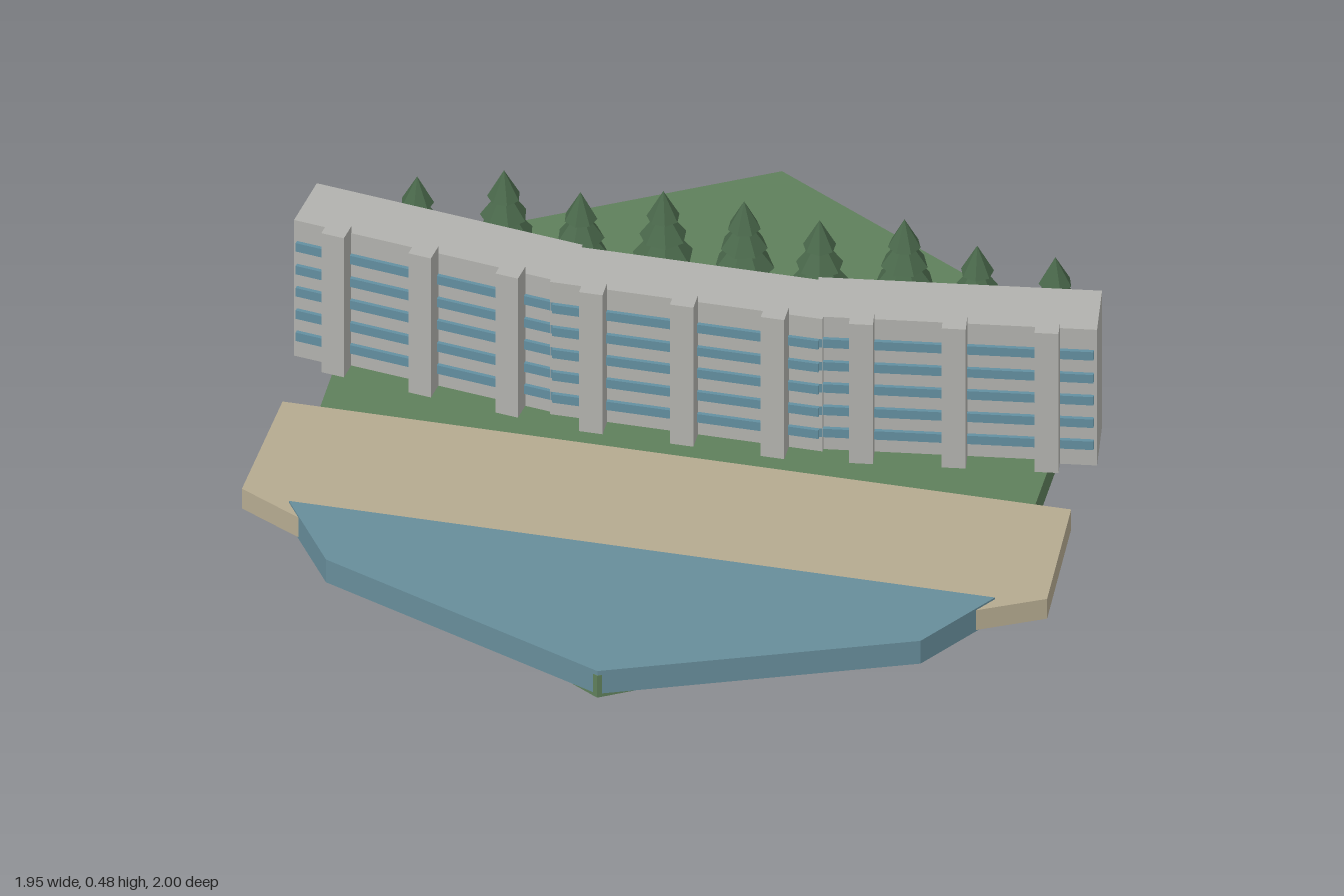
import * as THREE from 'three';

const material = (name, color) => {
  const m = new THREE.MeshStandardMaterial({ color, flatShading: true });
  m.name = name;
  return m;
};

export function createModel() {
  const mats = {
    grass: material('grass', 0x5f7f5b),
    sand: material('sand', 0xb5aa90),
    water: material('water', 0x678d9a),
    concrete: material('concrete', 0xb2b2ae),
    glass: material('window glass', 0x638fa0),
    foliage: material('foliage', 0x4a684b),
    bark: material('bark', 0x5a4f40),
  };
  const model = new THREE.Group();
  model.name = 'seasideHotel';

  function add(parent, name, geometry, mat, x = 0, y = 0, z = 0) {
    const mesh = new THREE.Mesh(geometry, mat);
    mesh.name = name;
    mesh.position.set(x, y, z);
    parent.add(mesh);
    return mesh;
  }

  // Flat slab from the right half of an outline given as [x, z], mirrored in x
  function slab(name, half, y0, y1, mat) {
    const mirrored = half.filter(p => p[0] > 0).map(([x, z]) => [-x, z]).reverse();
    const shape = new THREE.Shape([...half, ...mirrored].map(([x, z]) => new THREE.Vector2(x, -z)));
    const geometry = new THREE.ExtrudeGeometry(shape, { depth: y1 - y0, bevelEnabled: false });
    geometry.rotateX(-Math.PI / 2);
    return add(model, name, geometry, mat, 0, y0, 0);
  }

  // Hexagonal lawn, beach and sea
  slab('lawn', [[0, -1], [0.866, -0.5], [0.866, 0.5], [0, 1]], 0, 0.065, mats.grass);
  slab('beach', [[0.955, 0.137], [0.975, 0.487], [0.82, 0.567], [0.5, 0.72]], 0.014, 0.073, mats.sand);
  slab('sea', [[0.855, 0.515], [0.72, 0.717], [0, 0.998]], 0.01, 0.078, mats.water);

  // Building section: body, window bands and front piers
  const floors = [0.12, 0.186, 0.253, 0.319, 0.387];
  function section(name, width, depth, x, z, angle, pierXs) {
    const group = new THREE.Group();
    group.name = name;
    group.position.set(x, 0, z);
    group.rotation.y = angle;
    model.add(group);
    add(group, 'body', new THREE.BoxGeometry(width, 0.405, depth), mats.concrete, 0, 0.2575, 0);
    const front = depth / 2;
    for (const y of floors) {
      add(group, 'windowBand', new THREE.BoxGeometry(width - 0.015, 0.025, 0.0095), mats.glass, 0, y, front + 0.0045);
    }
    for (const px of pierXs) {
      add(group, 'pier', new THREE.BoxGeometry(0.057, 0.415, 0.05), mats.concrete, px, 0.2725, front + 0.024);
    }
  }
  section('centreBlock', 0.66, 0.147, 0, -0.037, 0, [-0.22, 0, 0.22]);
  for (const side of [-1, 1]) {
    section(side > 0 ? 'leftWing' : 'rightWing', 0.672, 0.152, side * 0.629, -0.0925, side * 0.142, [-0.22, 0, 0.22]);
  }

  // Row of conifers behind the building: trunk and three stacked cones
  const trees = [
    [-0.775, -0.515], [-0.58, -0.583], [-0.385, -0.54], [-0.195, -0.587], [0, -0.59],
    [0.19, -0.558], [0.385, -0.605], [0.575, -0.543], [0.765, -0.54],
  ];
  const tiers = [[0.073, 0.095, 0.1], [0.057, 0.152, 0.085], [0.04, 0.207, 0.077]];
  trees.forEach(([x, z], i) => {
    const tree = new THREE.Group();
    tree.name = 'conifer';
    tree.position.set(x, 0, z);
    tree.rotation.y = i * 1.3;
    model.add(tree);
    add(tree, 'trunk', new THREE.CylinderGeometry(0.012, 0.014, 0.05, 6), mats.bark, 0, 0.085, 0);
    for (const [radius, base, height] of tiers) {
      add(tree, 'foliageTier', new THREE.ConeGeometry(radius, height, 7), mats.foliage, 0, base + height / 2, 0);
    }
  });

  return model;
}
